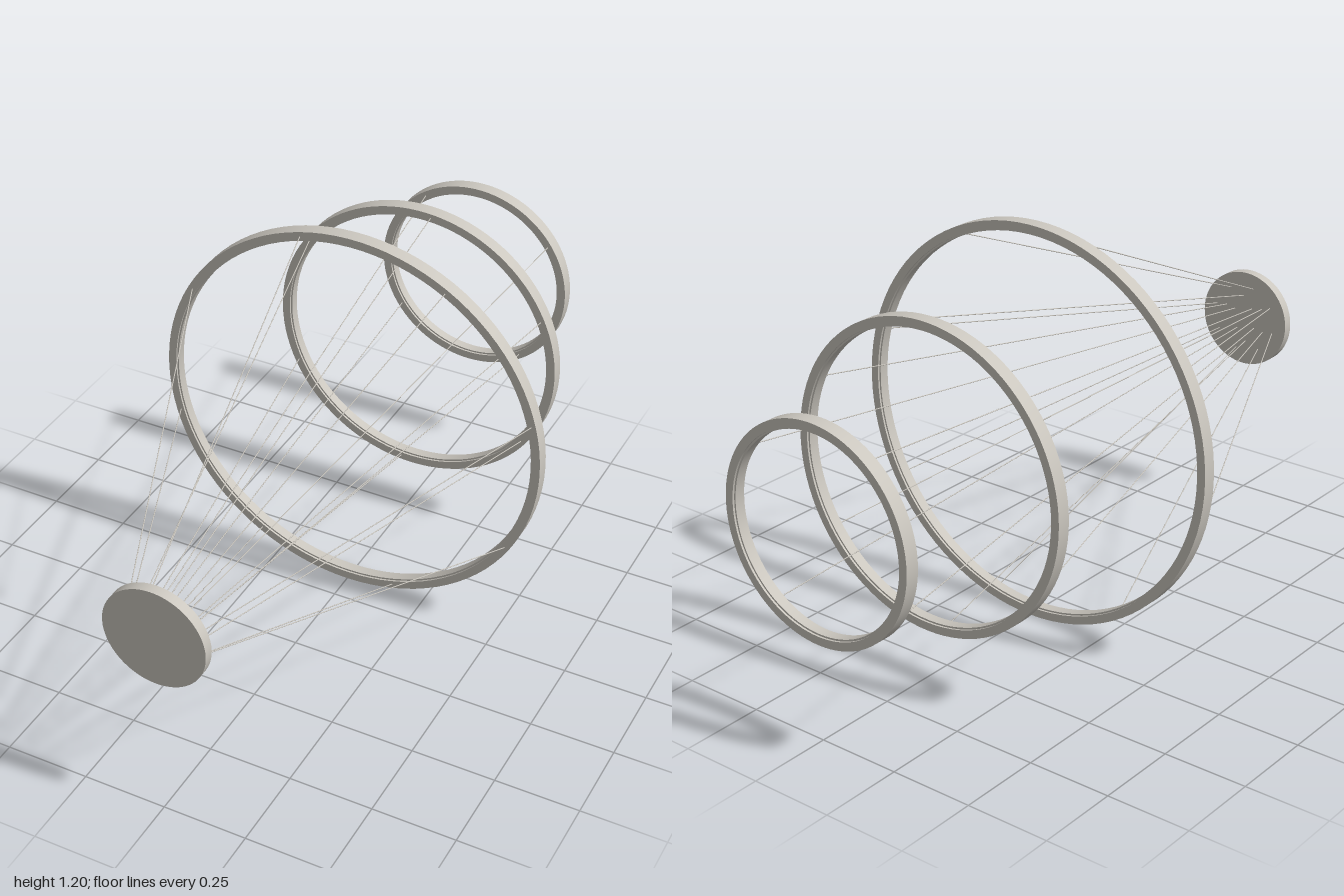
import * as THREE from 'three';
import { toCreasedNormals } from 'three/addons/utils/BufferGeometryUtils.js';

const CENTER_Y = 0.601;
const CANOPY_BACK = 0.97;

// outer radius, z of the middle, wire count, first wire angle, wire radius at the canopy
const TIERS = [
  { name: 'large', r: 0.6, z: -0.105, wires: 8, start: 15, hub: 0.108 },
  { name: 'medium', r: 0.457, z: -0.555, wires: 6, start: 25, hub: 0.076 },
  { name: 'small', r: 0.315, z: -0.979, wires: 4, start: 35, hub: 0.045 },
];
const HALF = 0.021;

// Hoop with a slim raised band along its inner face
function hoopGeometry(r) {
  const inner = r - 0.025, band = r - 0.03, b = HALF - 0.006;
  const profile = [
    [r, -HALF], [r, HALF], [inner, HALF], [inner, b],
    [band, b], [band, -b], [inner, -b], [inner, -HALF], [r, -HALF],
  ].map(([x, y]) => new THREE.Vector2(x, y));
  const geometry = new THREE.LatheGeometry(profile, 96);
  geometry.rotateX(Math.PI / 2);
  return toCreasedNormals(geometry, 0.5);
}

// Thin straight wire between two points
function wire(a, b, material) {
  const dir = b.clone().sub(a);
  const mesh = new THREE.Mesh(new THREE.CylinderGeometry(0.0015, 0.0015, dir.length(), 8), material);
  mesh.position.copy(a).add(b).multiplyScalar(0.5);
  mesh.quaternion.setFromUnitVectors(new THREE.Vector3(0, 1, 0), dir.normalize());
  mesh.name = 'suspensionWire';
  return mesh;
}

export function createModel() {
  const model = new THREE.Group();
  model.name = 'tieredRingPendant';
  const metal = new THREE.MeshStandardMaterial({ color: 0xcbc7bf });
  metal.name = 'warmGreyMetal';

  const body = new THREE.Group();
  body.name = 'pendant';
  body.position.y = CENTER_Y;
  model.add(body);

  // Mounting disc
  const disc = new THREE.CylinderGeometry(0.153, 0.153, 0.03, 64);
  disc.rotateX(Math.PI / 2);
  const canopy = new THREE.Mesh(disc, metal);
  canopy.name = 'canopy';
  canopy.position.z = CANOPY_BACK + 0.015;
  body.add(canopy);

  // Rings, each hung from the disc by its own fan of wires
  for (const t of TIERS) {
    const tier = new THREE.Group();
    tier.name = t.name + 'Tier';
    const hoop = new THREE.Mesh(hoopGeometry(t.r), metal);
    hoop.name = t.name + 'Ring';
    hoop.position.z = t.z;
    tier.add(hoop);
    for (let i = 0; i < t.wires; i++) {
      const angle = THREE.MathUtils.degToRad(t.start + (i * 360) / t.wires);
      const at = (r, z) => new THREE.Vector3(r * Math.cos(angle), r * Math.sin(angle), z);
      tier.add(wire(at(t.hub, CANOPY_BACK), at(t.r - 0.014, t.z + HALF), metal));
    }
    body.add(tier);
  }
  return model;
}
